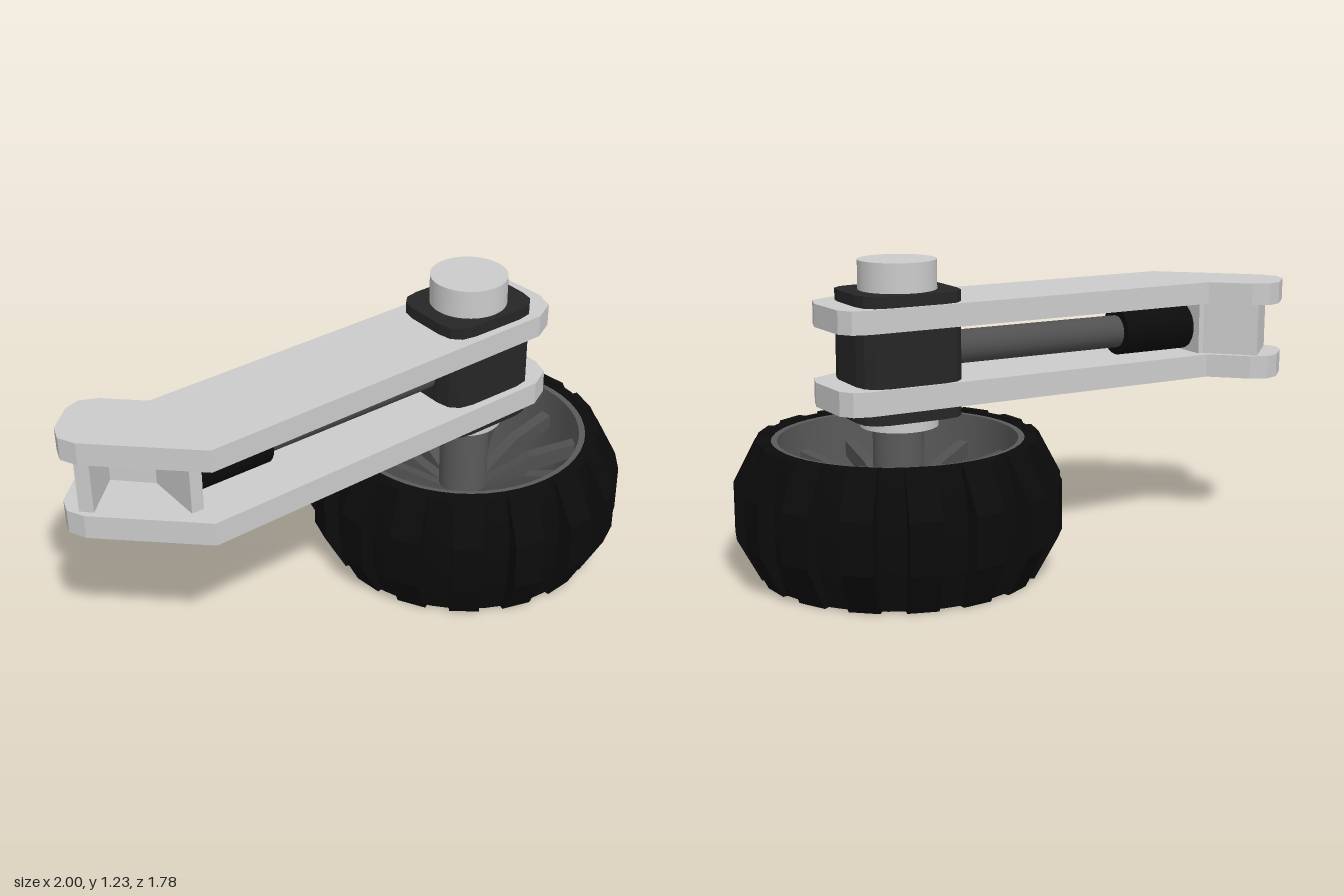
import * as THREE from 'three';
import { toCreasedNormals } from 'three/addons/utils/BufferGeometryUtils.js';

const mat = (color, extra = {}) => new THREE.MeshStandardMaterial({ color, ...extra });
const grey = mat(0xcccccc);
const rubber = mat(0x0b0b0b, { side: THREE.DoubleSide });
const blackPlastic = mat(0x262626);
const darkMetal = mat(0x505050);
const rimMetal = mat(0x5a5a5a, { side: THREE.DoubleSide });

function add(parent, name, geometry, material, x = 0, y = 0, z = 0) {
  const mesh = new THREE.Mesh(geometry, material);
  mesh.name = name;
  mesh.position.set(x, y, z);
  parent.add(mesh);
  return mesh;
}

// Horizontal slab from an outline in (x, z), spanning y0 to y1
function slab(shape, y0, y1) {
  const g = new THREE.ExtrudeGeometry(shape, { depth: y1 - y0, bevelEnabled: false, curveSegments: 3 });
  return g.rotateX(Math.PI / 2).translate(0, y1, 0);
}

const outline = (pts) => new THREE.Shape(pts.map(([x, y]) => new THREE.Vector2(x, y)));

function roundedRect(a, b, r) {
  const s = new THREE.Shape();
  s.moveTo(-a + r, -b);
  s.lineTo(a - r, -b).quadraticCurveTo(a, -b, a, -b + r);
  s.lineTo(a, b - r).quadraticCurveTo(a, b, a - r, b);
  s.lineTo(-a + r, b).quadraticCurveTo(-a, b, -a, b - r);
  s.lineTo(-a, -b + r).quadraticCurveTo(-a, -b, -a + r, -b);
  return s;
}

function lathe(pts) {
  const g = new THREE.LatheGeometry(pts.map(([r, y]) => new THREE.Vector2(r, y)), 48);
  return toCreasedNormals(g, 0.4);
}

function createWheel() {
  const wheel = new THREE.Group();
  wheel.name = 'wheel';

  // Tyre body and hollow rim
  add(wheel, 'tyre', lathe([[0.495, 0.005], [0.54, 0.005], [0.58, 0.16], [0.58, 0.38],
    [0.54, 0.535], [0.495, 0.535], [0.495, 0.005]]), rubber);
  add(wheel, 'rim', lathe([[0.47, 0.01], [0.5, 0.01], [0.5, 0.53], [0.47, 0.53], [0.47, 0.01]]), rimMetal);

  // Tread lugs
  const lug = new THREE.ExtrudeGeometry(
    outline([[0.51, 0], [0.55, 0], [0.64, 0.17], [0.64, 0.37], [0.55, 0.54], [0.51, 0.54]]),
    { depth: 0.12, bevelEnabled: false }).translate(0, 0, -0.06);
  for (let i = 0; i < 16; i++) {
    add(wheel, 'treadLug', lug, rubber).rotation.y = THREE.MathUtils.degToRad(6 + i * 22.5);
  }

  // Spokes rise from the hub to the rim, one position left open
  const spoke = new THREE.ExtrudeGeometry(
    outline([[0.06, 0.12], [0.16, 0.16], [0.3, 0.3], [0.485, 0.36], [0.485, 0.42], [0.28, 0.37], [0.06, 0.24]]),
    { depth: 0.05, bevelEnabled: false }).translate(0, 0, -0.025);
  for (let i = 0; i < 12; i++) {
    if (i === 9) continue;
    add(wheel, 'spoke', spoke, darkMetal).rotation.y = THREE.MathUtils.degToRad(15 + i * 30);
  }

  // Hub tube with an open lower end, continuing up as the axle
  add(wheel, 'hub', lathe([[0.05, 0.15], [0.05, 0.05], [0.1, 0.05], [0.1, 0.6]]), rimMetal);
  add(wheel, 'hubPlug', new THREE.CylinderGeometry(0.05, 0.05, 0.04, 24), darkMetal, 0, 0.13, 0);
  return wheel;
}

export function createModel() {
  const model = new THREE.Group();
  model.name = 'swingArmWheel';

  const wheel = createWheel();
  wheel.position.set(0.36, 0, -0.25);
  model.add(wheel);

  // Bent arm plates, upper and lower
  const armShape = outline([[-1, 0.67], [-0.97, 0.61], [-0.9, 0.585], [-0.72, 0.58], [0.36, -0.53],
    [0.42, -0.565], [0.48, -0.555], [0.63, -0.42], [0.67, -0.34], [0.64, -0.24],
    [-0.43, 0.87], [-0.9, 0.885], [-0.97, 0.86], [-1, 0.8]]);
  add(model, 'lowerArmPlate', slab(armShape, 0.67, 0.765), grey);
  add(model, 'upperArmPlate', slab(armShape, 0.98, 1.07), grey);

  // Parts aligned with the arm: local -x runs from the axle down the arm
  const pivot = new THREE.Group();
  pivot.name = 'pivotAssembly';
  pivot.position.set(0.355, 0, -0.25);
  pivot.rotation.y = Math.PI / 4;
  model.add(pivot);
  add(pivot, 'pivotBlock', slab(roundedRect(0.215, 0.18, 0.1), 0.625, 1.115), blackPlastic);
  add(pivot, 'pivotPin', new THREE.CylinderGeometry(0.153, 0.153, 0.65, 40), grey, 0, 0.905, 0);

  // Damper: rod, sleeve and end plate
  const along = (r, length, sides) => new THREE.CylinderGeometry(r, r, length, sides).rotateZ(Math.PI / 2);
  add(pivot, 'damperRod', along(0.067, 0.95, 24), darkMetal, -0.6, 0.867, 0);
  add(pivot, 'damperSleeve', along(0.098, 0.34, 24), rubber, -1.17, 0.867, 0);
  add(pivot, 'damperEndPlate', new THREE.BoxGeometry(0.05, 0.215, 0.27), grey, -1.355, 0.872, 0);

  // Mounting bracket between the plates at the far end
  add(model, 'bracketSideWall', new THREE.BoxGeometry(0.055, 0.215, 0.25), grey, -0.897, 0.872, 0.735);
  add(model, 'bracketBackWall', new THREE.BoxGeometry(0.23, 0.215, 0.04), grey, -0.81, 0.872, 0.632);

  return model;
}
